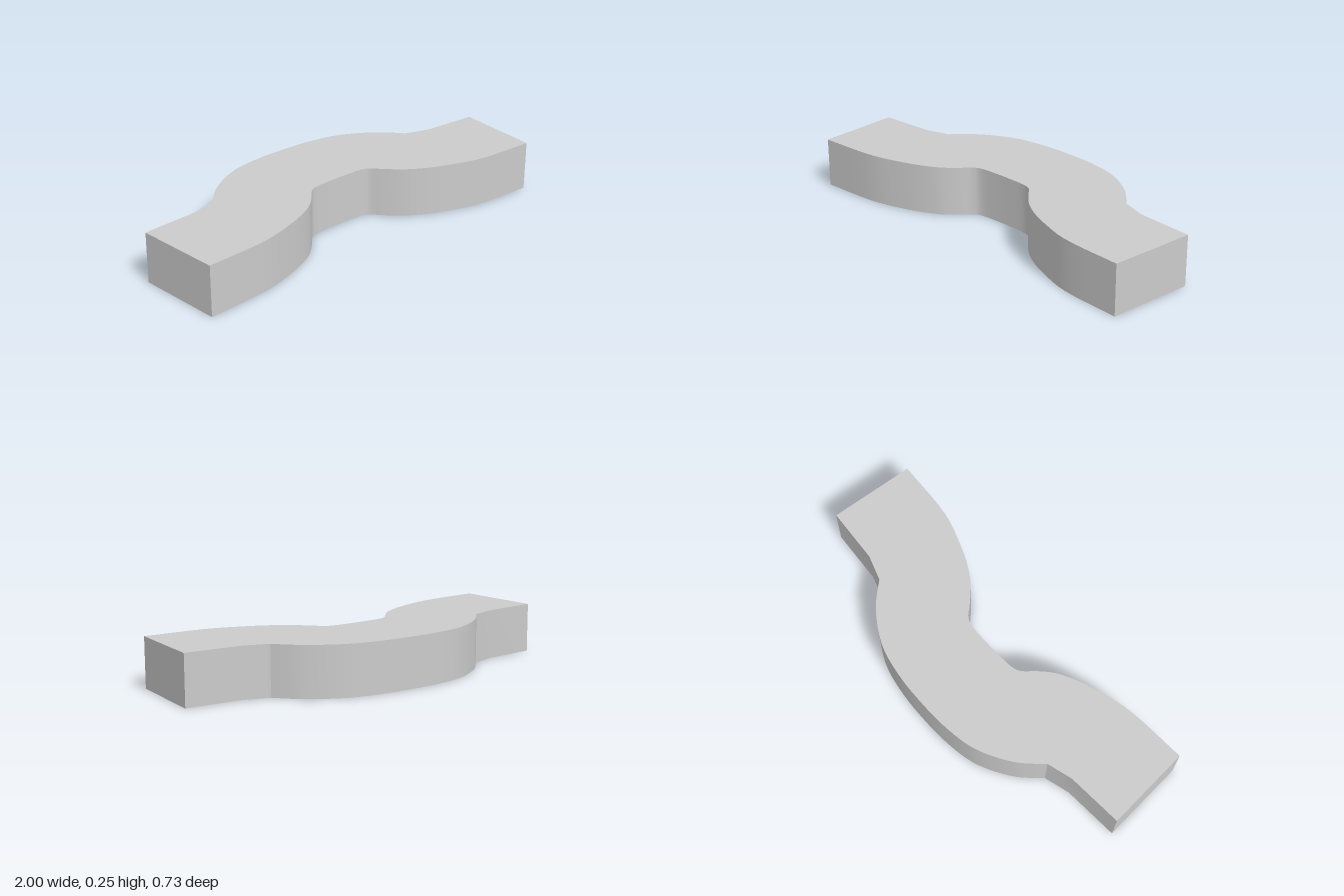
import * as THREE from 'three';
import { toCreasedNormals } from 'three/addons/utils/BufferGeometryUtils.js';

const HEIGHT = 0.245;

// Smooth run through [x, z] points, returned in shape space (y = -z)
function smoothRun(points, divisions) {
  const vectors = points.map(([x, z]) => new THREE.Vector3(x, -z, 0));
  return new THREE.CatmullRomCurve3(vectors, false, 'centripetal')
    .getPoints(divisions)
    .map((p) => new THREE.Vector2(p.x, p.y));
}

// Right half of a symmetric edge, mirrored to run from left to right
function mirrored(half) {
  return [...half.slice(1).reverse().map(([x, z]) => [-x, z]), ...half];
}

export function createModel() {
  const group = new THREE.Group();
  group.name = 'curvedBar';

  // Front edge: hollow in the middle, swelling forward towards each end
  const front = smoothRun([
    [-0.965, 0.36], [-0.70, 0.341], [-0.61, 0.326], [-0.505, 0.295], [-0.40, 0.255],
    [-0.30, 0.20], [-0.235, 0.14], [-0.19, 0.088], [-0.16, 0.07], [-0.07, 0.06],
    [0.04, 0.057], [0.135, 0.06], [0.175, 0.073], [0.22, 0.12], [0.30, 0.195],
    [0.40, 0.255], [0.505, 0.297], [0.655, 0.341], [0.97, 0.36],
  ], 72);

  // Back edge: broad arch with a sharp corner where each end begins
  const arch = smoothRun(mirrored([
    [0, -0.365], [0.14, -0.36], [0.30, -0.333], [0.40, -0.29],
    [0.505, -0.22], [0.565, -0.16], [0.60, -0.12],
  ]), 48).reverse();

  const outline = new THREE.Shape([
    ...front,
    new THREE.Vector2(1, 0.063),
    new THREE.Vector2(0.725, 0.08),
    ...arch,
    new THREE.Vector2(-0.725, 0.082),
    new THREE.Vector2(-1, 0.061),
  ]);

  // Slab raised from the outline, lying flat on the ground
  let geometry = new THREE.ExtrudeGeometry(outline, { depth: HEIGHT, bevelEnabled: false });
  geometry.rotateX(-Math.PI / 2);
  geometry = toCreasedNormals(geometry, 0.45);

  const bar = new THREE.Mesh(geometry, new THREE.MeshStandardMaterial({ color: 0xcccccc }));
  bar.name = 'bar';
  group.add(bar);
  return group;
}
